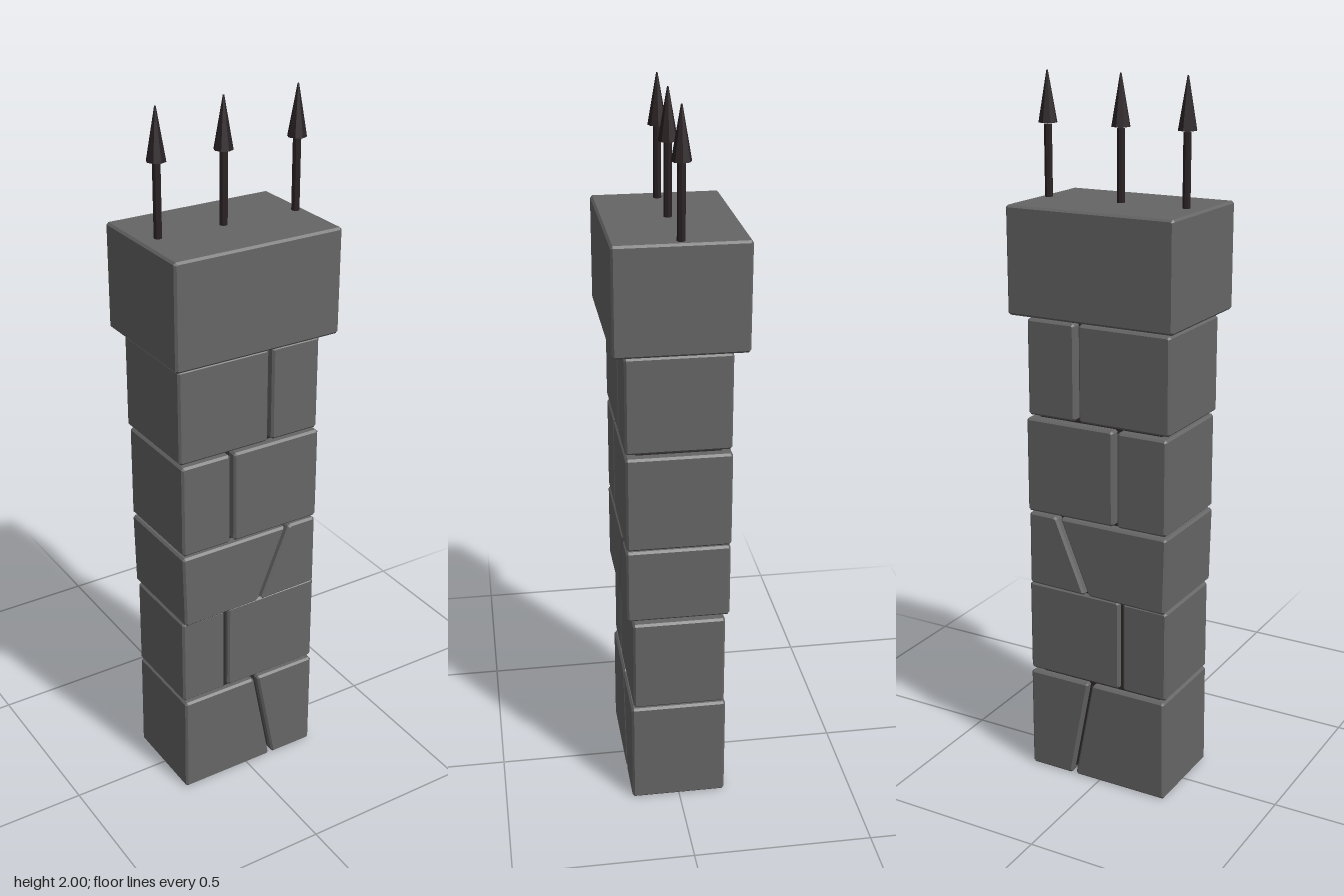
import * as THREE from 'three';

const stone = new THREE.MeshStandardMaterial({ color: 0x666666, flatShading: true });
const mortar = new THREE.MeshStandardMaterial({ color: 0x2e2a28, flatShading: true });
const iron = new THREE.MeshStandardMaterial({ color: 0x2a2224, flatShading: true });
const BEVEL = 0.006;

// Stone with a four-cornered front outline (counter-clockwise), chamfered on every edge
function makeStone(name, corners, zBack, zFront) {
  const pts = corners.map(([x, y]) => new THREE.Vector2(x, y));
  const outline = [];
  pts.forEach((p, i) => {
    for (const q of [pts[(i + 3) % 4], pts[(i + 1) % 4]]) {
      outline.push(q.clone().sub(p).setLength(BEVEL).add(p));
    }
  });
  const geo = new THREE.ExtrudeGeometry(new THREE.Shape(outline), {
    depth: zFront - zBack - 2 * BEVEL,
    bevelThickness: BEVEL, bevelSize: BEVEL, bevelOffset: -BEVEL, bevelSegments: 1,
  });
  geo.translate(0, 0, zBack + BEVEL);
  const mesh = new THREE.Mesh(geo, stone);
  mesh.name = name;
  return mesh;
}

// Each course: outer corners, joint position at bottom and top, depth range
const courses = [
  { bl: [-0.212, 0], br: [0.225, 0], tr: [0.225, 0.305], tl: [-0.21, 0.305], joint: [0.085, 0.027], z: [-0.133, 0.136] },
  { bl: [-0.213, 0.311], br: [0.227, 0.311], tr: [0.227, 0.582], tl: [-0.213, 0.578], joint: [-0.07, -0.07], z: [-0.128, 0.13] },
  { bl: [-0.212, 0.579], br: [0.216, 0.588], tr: [0.215, 0.803], tl: [-0.217, 0.801], joint: [0.032, 0.122], z: [-0.142, 0.145] },
  { bl: [-0.216, 0.808], br: [0.218, 0.808], tr: [0.218, 1.08], tl: [-0.216, 1.08], joint: [-0.06, -0.06], z: [-0.143, 0.144] },
  { bl: [-0.223, 1.09], br: [0.211, 1.09], tr: [0.211, 1.36], tl: [-0.223, 1.36], joint: [0.058, 0.058], z: [-0.142, 0.144] },
];

function makeSpike(x) {
  const spike = new THREE.Group();
  spike.name = 'spike';
  const rod = new THREE.Mesh(new THREE.CylinderGeometry(0.011, 0.011, 0.22, 8), iron);
  rod.name = 'spikeRod';
  rod.position.y = 1.75;
  const head = new THREE.Mesh(new THREE.CylinderGeometry(0.002, 0.026, 0.136, 8), iron);
  head.name = 'spikeHead';
  head.position.y = 1.932;
  spike.add(rod, head);
  spike.position.x = x;
  return spike;
}

export function createModel() {
  const model = new THREE.Group();
  model.name = 'stonePillar';

  // Two stones per course, with a narrow joint between them
  const gap = 0.006;
  courses.forEach(({ bl, br, tr, tl, joint: [jb, jt], z }, i) => {
    const yb = THREE.MathUtils.mapLinear(jb, bl[0], br[0], bl[1], br[1]);
    const yt = THREE.MathUtils.mapLinear(jt, tl[0], tr[0], tl[1], tr[1]);
    model.add(
      makeStone(`course${i + 1}LeftStone`, [[jb + gap, yb], br, tr, [jt + gap, yt]], ...z),
      makeStone(`course${i + 1}RightStone`, [bl, [jb - gap, yb], [jt - gap, yt], tl], ...z),
    );
  });

  // Mortar core seen through the joints
  const core = new THREE.Mesh(new THREE.BoxGeometry(0.38, 1.36, 0.23), mortar);
  core.name = 'mortarCore';
  core.position.y = 0.7;
  model.add(core);

  // Overhanging cap stone
  model.add(makeStone('capStone',
    [[-0.248, 1.373], [0.248, 1.373], [0.248, 1.667], [-0.248, 1.667]], -0.178, 0.178));

  // Iron spikes
  for (const x of [-0.193, 0, 0.222]) model.add(makeSpike(x));
  return model;
}
